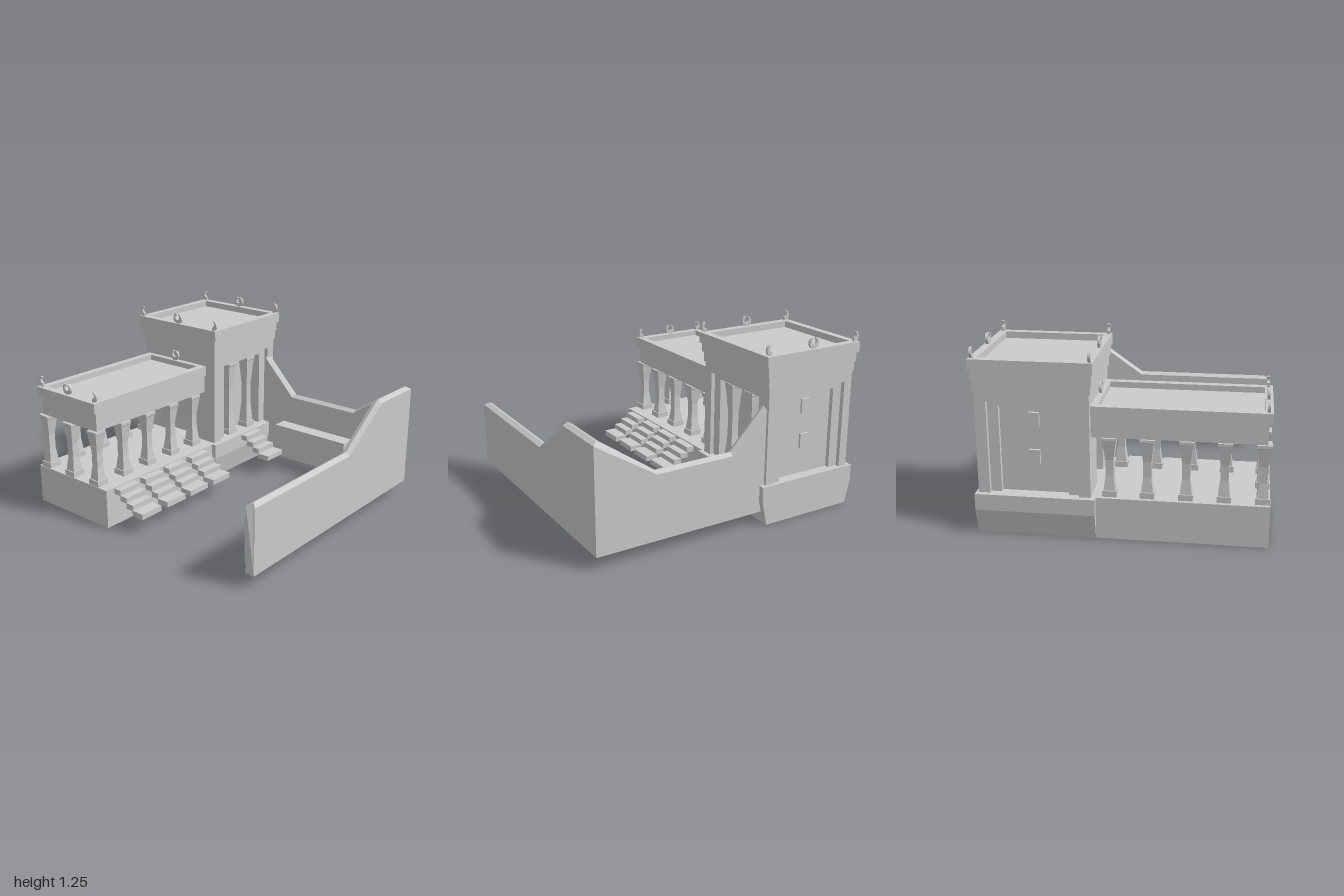
import * as THREE from 'three';

const mat = new THREE.MeshStandardMaterial({ color: 0xcccccc, flatShading: true, side: THREE.DoubleSide });

export function createModel() {
  const root = new THREE.Group();

  const add = (name, geo, parent = root) => {
    const m = new THREE.Mesh(geo, mat);
    m.name = name;
    parent.add(m);
    return m;
  };
  // Box given by its limits on each axis
  const box = (name, [x0, x1], [y0, y1], [z0, z1], parent = root) => {
    const m = add(name, new THREE.BoxGeometry(x1 - x0, y1 - y0, z1 - z0), parent);
    m.position.set((x0 + x1) / 2, (y0 + y1) / 2, (z0 + z1) / 2);
    return m;
  };
  // Hollow plinth without an underside; its foot can be narrowed in x
  const plinth = (name, [x0, x1], [z0, z1], height, kneeY, foot) => {
    const g = new THREE.BoxGeometry(x1 - x0, height, z1 - z0, 1, 2, 1);
    const p = g.attributes.position;
    for (let i = 0; i < p.count; i++) {
      const y = p.getY(i);
      if (Math.abs(y) < 0.001) p.setY(i, kneeY - height / 2);
      else if (y < 0) p.setX(i, p.getX(i) - Math.sign(p.getX(i)) * foot);
    }
    const under = g.groups[3], index = Array.from(g.index.array);
    index.splice(under.start, under.count);
    g.setIndex(index);
    g.clearGroups();
    add(name, g).position.set((x0 + x1) / 2, height / 2, (z0 + z1) / 2);
  };
  // Roof slab with a raised rim
  const parapet = (name, [x0, x1], [y0, y1], [z0, z1], rim, depth) => {
    const g = new THREE.Group();
    g.name = name;
    root.add(g);
    box('roofFloor', [x0 + rim, x1 - rim], [y0, y1 - depth], [z0 + rim, z1 - rim], g);
    box('rimLeft', [x1 - rim, x1], [y0, y1], [z0, z1], g);
    box('rimRight', [x0, x0 + rim], [y0, y1], [z0, z1], g);
    box('rimFront', [x0 + rim, x1 - rim], [y0, y1], [z1 - rim, z1], g);
    box('rimBack', [x0 + rim, x1 - rim], [y0, y1], [z0, z0 + rim], g);
  };

  // Plinths
  plinth('porticoPlinth', [-0.96, -0.26], [-0.16, 0.94], 0.28, 0.14, 0);
  plinth('towerPlinth', [-1, -0.225], [-0.94, -0.16], 0.28, 0.17, 0.038);

  // Stairs of overlapping slabs
  const stairs = (x, z0, z1) => {
    const g = new THREE.Group();
    g.name = 'stairs';
    root.add(g);
    for (let i = 0; i < 4; i++) {
      const a = x + i * 0.058;
      box('step', [a - 0.004, a + (i === 3 ? 0.09 : 0.058)], [0.232 - i * 0.038, 0.272 - i * 0.038], [z0, z1], g);
    }
  };
  [-0.05, 0.197, 0.435, 0.68].forEach(z => stairs(-0.26, z, z + 0.185));
  stairs(-0.225, -0.66, -0.475);

  // Square columns: block foot, waisted shaft, flared capital
  const column = (x, z, top) => {
    const g = new THREE.Group();
    g.name = 'column';
    g.position.set(x, 0.28, z);
    root.add(g);
    box('foot', [-0.046, 0.046], [0, 0.04], [-0.046, 0.046], g);
    const h = top - 0.28, r = Math.SQRT1_2 * 2;
    const pts = [[0.038, 0.04], [0.026, h * 0.35], [0.026, h * 0.62], [0.042, h - 0.025], [0.046, h - 0.02], [0.046, h]]
      .map(([w, y]) => new THREE.Vector2(w * r, y));
    pts.push(new THREE.Vector2(0, h));
    add('shaft', new THREE.LatheGeometry(pts, 4, Math.PI / 4), g);
  };
  for (const z of [0.89, 0.65, 0.41, 0.165, -0.075])
    for (const x of [-0.89, -0.39]) column(x, z, 0.675);
  column(-0.64, 0.89, 0.675);

  // Portico roof
  box('porticoBeam', [-0.92, -0.36], [0.675, 0.815], [-0.2, 0.91]);
  parapet('porticoParapet', [-0.935, -0.345], [0.81, 0.882], [-0.2, 0.935], 0.052, 0.04);

  // Tower core and its framed sides
  box('towerCore', [-0.9, -0.38], [0.28, 0.97], [-0.86, -0.25]);
  const frame = (w, openW, openTop, depth) => {
    const s = new THREE.Shape();
    [[-w, 0.28], [-openW, 0.28], [-openW, openTop], [openW, openTop], [openW, 0.28], [w, 0.28], [w, 0.97], [-w, 0.97]]
      .forEach(([x, y], i) => (i ? s.lineTo(x, y) : s.moveTo(x, y)));
    return new THREE.ExtrudeGeometry(s, { depth, bevelEnabled: false });
  };
  const towerSide = (name, x, z, turn, inner, windows, w) => {
    const g = new THREE.Group();
    g.name = name;
    g.position.set(x, 0, z);
    g.rotation.y = turn;
    root.add(g);
    add('outerFrame', frame(w, 0.29, 0.9, 0.03), g).position.z = -0.03;
    add('innerFrame', frame(w - 0.01, 0.22, 0.86, inner), g).position.z = -0.03 - inner;
    if (windows) for (const y of [0.52, 0.77])
      box('window', [-0.035, 0.035], [y - 0.05, y + 0.05], [-0.07, -0.045], g);
  };
  towerSide('towerLeft', -0.26, -0.555, Math.PI / 2, 0.09, false, 0.365);
  towerSide('towerRight', -0.965, -0.555, -Math.PI / 2, 0.03, true, 0.365);
  towerSide('towerBack', -0.6125, -0.92, Math.PI, 0.03, true, 0.352);
  // Front wall with a doorway
  const door = add('towerFront', frame(0.352, 0.12, 0.64, 0.06));
  door.position.set(-0.6125, 0, -0.25);
  for (const z of [-0.44, -0.66]) column(-0.33, z, 0.86);

  // Tower cornice
  box('lowerCornice', [-0.975, -0.25], [0.965, 1.035], [-0.925, -0.18]);
  box('upperCornice', [-0.985, -0.24], [1.035, 1.105], [-0.93, -0.17]);
  parapet('towerParapet', [-1, -0.225], [1.1, 1.175], [-0.94, -0.16], 0.052, 0.045);

  // Crescent finials: whole in the middle, half at the corners
  const crescent = (x, y, z, half) => {
    const d = Math.PI / 180, s = new THREE.Shape();
    s.absarc(0, 0, 0.039, 110 * d, (half ? 270 : 430) * d, false);
    s.absarc(0, 0.01, 0.021, (half ? 270 : 430) * d, 110 * d, true);
    const g = new THREE.ExtrudeGeometry(s, { depth: 0.018, bevelEnabled: false, curveSegments: 10 });
    g.translate(0, 0, -0.009);
    const m = add(half ? 'cornerFinial' : 'middleFinial', g);
    m.position.set(x, y + 0.037, z);
    if (half > 0) m.rotation.y = Math.PI;
  };
  const finialRow = (xr, xl, y, z) => {
    crescent(xr + 0.04, y, z, -1);
    crescent(xl - 0.04, y, z, 1);
    crescent((xr + xl) / 2, y, z, 0);
  };
  finialRow(-1, -0.225, 1.175, -0.915);
  finialRow(-1, -0.225, 1.175, -0.18);
  finialRow(-0.935, -0.345, 0.882, 0.905);
  crescent(-0.64, 0.882, -0.17, 0);

  // Courtyard wall: [x, z, ridge height, outward x, outward z]
  const t = 0.033;
  const path = [
    [-0.27, -0.867, 0.84, 0, -t], [0, -0.867, 0.56, 0, -t], [0.57, -0.867, 0.56, 0, -t],
    [0.967, -0.867, 0.83, t, -t], [0.967, -0.485, 0.83, t, 0], [0.967, -0.105, 0.56, t, 0],
    [0.967, 0.925, 0.56, t, 0],
  ];
  const rings = path.map(([x, z, h, ox, oz], i) => [
    [x + ox, 0.088, z + oz], [x + ox, h - 0.02, z + oz],
    [x, h, i === path.length - 1 ? z - 0.03 : z],
    [x - ox, h - 0.02, z - oz], [x - ox, 0.088, z - oz],
  ]);
  const verts = [];
  const tri = (a, b, c) => verts.push(...a, ...b, ...c);
  for (let i = 0; i < rings.length - 1; i++)
    for (let j = 0; j < 5; j++) {
      const k = (j + 1) % 5, a = rings[i], b = rings[i + 1];
      tri(a[j], a[k], b[k]);
      tri(a[j], b[k], b[j]);
    }
  const first = rings[0], last = rings[rings.length - 1];
  for (let j = 1; j < 4; j++) {
    tri(first[0], first[j + 1], first[j]);
    tri(last[0], last[j], last[j + 1]);
  }
  const wall = new THREE.BufferGeometry();
  wall.setAttribute('position', new THREE.Float32BufferAttribute(verts, 3));
  wall.computeVertexNormals();
  add('courtyardWall', wall);

  // Benches along the wall
  box('backBench', [-0.075, 0.57], [0.07, 0.325], [-0.84, -0.72]);
  box('frontBench', [0.8, 0.94], [0.05, 0.38], [-0.1, 0.765]);
  [[0.78, 0.3], [0.825, 0.38], [0.875, 0.46]].forEach(([x, y], i) =>
    box('tieredBench', [x, i < 2 ? x + 0.05 : 0.94], [0.07, y], [-0.8, -0.2]));

  return root;
}
